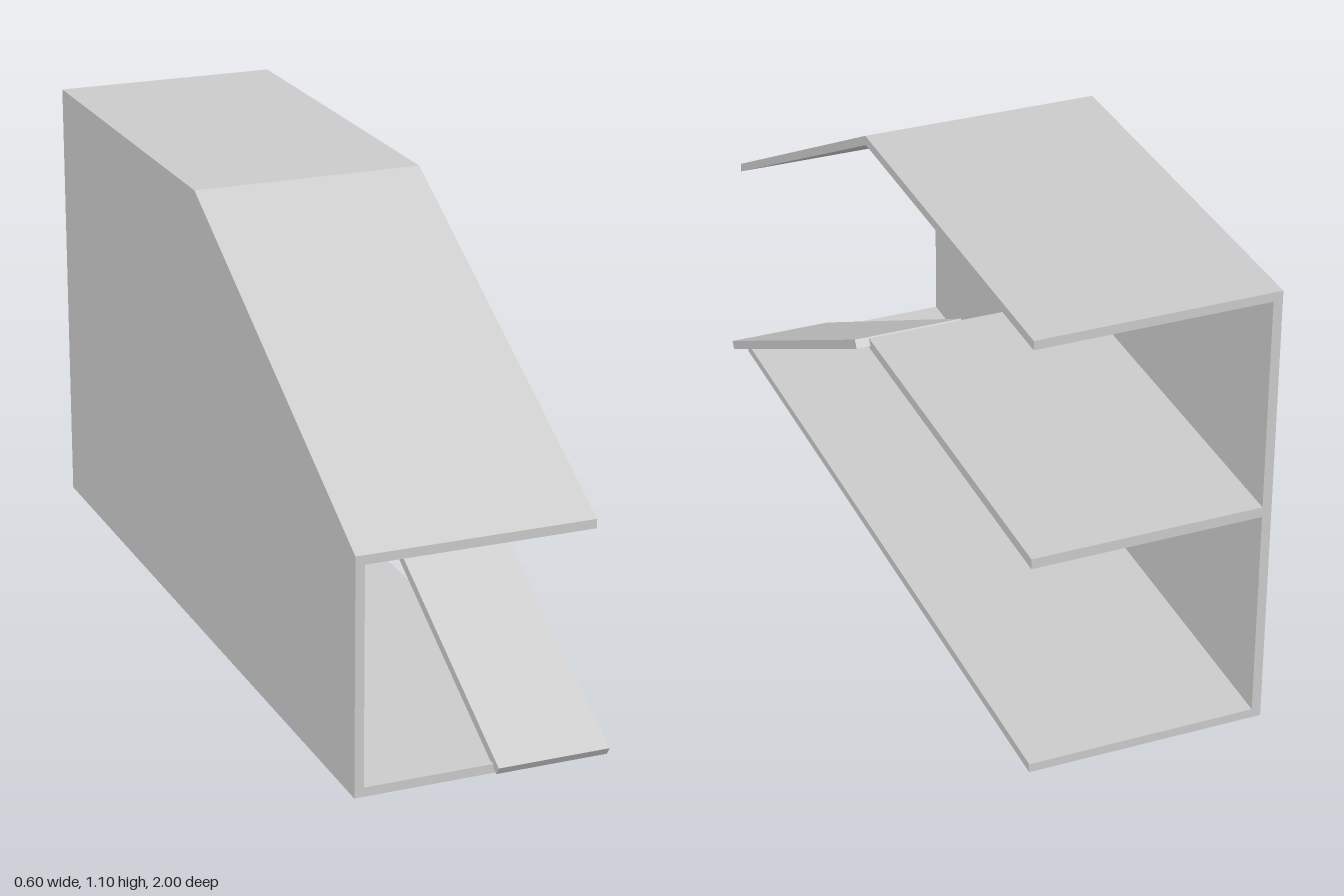
import * as THREE from 'three';

const material = new THREE.MeshStandardMaterial({ color: 0xcccccc, flatShading: true });

// Extrudes a side profile of [z, y] points across the width from x0 to x1
function panel(name, points, x0, x1) {
  const shape = new THREE.Shape(points.map(([z, y]) => new THREE.Vector2(z, y)));
  const geometry = new THREE.ExtrudeGeometry(shape, { depth: x1 - x0, bevelEnabled: false });
  geometry.rotateY(-Math.PI / 2).translate(x1, 0, 0);
  const mesh = new THREE.Mesh(geometry, material);
  mesh.name = name;
  return mesh;
}

const slab = (z0, z1, y0, y1) => [[z0, y0], [z1, y0], [z1, y1], [z0, y1]];

export function createModel() {
  const group = new THREE.Group();
  group.name = 'rampStructure';
  const outer = -0.3, inner = -0.278, open = 0.265;

  group.add(
    // Side wall with sloping front
    panel('sideWall', [[-1, 0], [0.973, 0], [0.973, 0.565], [0, 1.1], [-1, 1.1]], outer, inner),
    // Three level floors
    panel('bottomFloor', slab(-1, 0.973, 0, 0.022), inner, open),
    panel('middleFloor', slab(-1, 0, 0.54, 0.565), inner, open),
    panel('topFloor', slab(-1, 0, 1.078, 1.1), inner, open),
    // Sloping roof over the front half
    panel('slopingRoof', [[0, 1.076], [0.973, 0.543], [0.973, 0.565], [0, 1.1]], inner, open),
    // Narrow ramp from the ground to the middle floor
    panel('ramp', [[-0.01, 0.549], [0.988, 0.004], [1, 0.023], [0.002, 0.568]], 0.03, 0.3)
  );
  return group;
}
